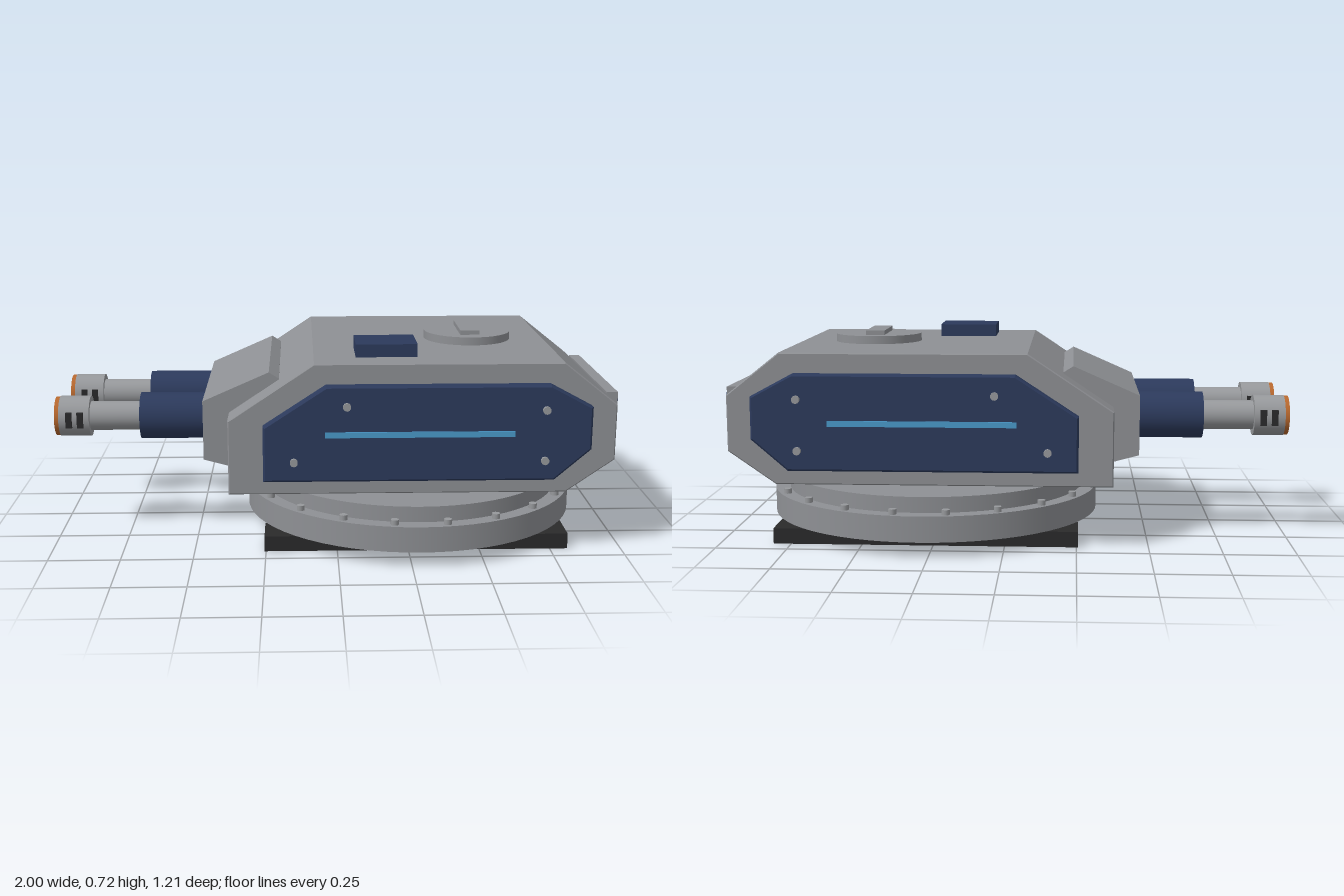
import * as THREE from 'three';

export function createModel() {
  const root = new THREE.Group();
  root.name = 'turret';
  const mat = (name, color) => {
    const m = new THREE.MeshStandardMaterial({ color });
    m.name = name;
    return m;
  };
  const grey = mat('armour grey', 0x8e9094);
  const steel = mat('barrel steel', 0x97999c);
  const navy = mat('navy panel', 0x2c3a5c);
  const cyan = mat('light strip', 0x4a9acb);
  const orange = mat('muzzle orange', 0xb8682e);
  const black = mat('skid black', 0x2a2a2b);

  const add = (name, geo, material, x = 0, y = 0, z = 0) => {
    const m = new THREE.Mesh(geo, material);
    m.name = name;
    m.position.set(x, y, z);
    root.add(m);
    return m;
  };
  // box given by its min and max on each axis
  const box = (name, material, x0, x1, y0, y1, z0, z1) =>
    add(name, new THREE.BoxGeometry(x1 - x0, y1 - y0, z1 - z0), material,
      (x0 + x1) / 2, (y0 + y1) / 2, (z0 + z1) / 2);
  // upright cylinder between two heights
  const disc = (name, material, r, x, y0, y1, z = 0, sides = 64) =>
    add(name, new THREE.CylinderGeometry(r, r, y1 - y0, sides), material, x, (y0 + y1) / 2, z);
  // cylinder lying along x
  const rod = (name, material, r, x0, x1, y, z) =>
    add(name, new THREE.CylinderGeometry(r, r, x1 - x0, 32).rotateZ(Math.PI / 2), material, (x0 + x1) / 2, y, z);
  // side profile extruded across z, with a small bevel inside the outline
  const slab = (name, material, pts, z0, z1, bevel) => {
    const shape = new THREE.Shape(pts.map(([x, y]) => new THREE.Vector2(x, y)));
    const geo = new THREE.ExtrudeGeometry(shape, {
      depth: z1 - z0 - 2 * bevel, bevelEnabled: bevel > 0, bevelSize: bevel,
      bevelThickness: bevel, bevelOffset: -bevel, bevelSegments: 1,
    });
    return add(name, geo, material, 0, 0, z0 + bevel);
  };

  // base: skids, turntable ring and its bolts
  const cx = 0.28;
  for (const s of [-1, 1]) {
    const z = s * 0.358;
    box('skid', black, -0.255, 0.812, 0, 0.055, z - 0.071, z + 0.071);
  }
  disc('baseRing', grey, 0.603, cx, 0.055, 0.145);
  disc('upperRing', grey, 0.55, cx, 0.145, 0.2);
  for (let i = 0; i < 20; i++) {
    const a = (i + 0.5) * Math.PI / 10;
    disc('ringBolt', steel, 0.014, cx + Math.cos(a) * 0.577, 0.145, 0.163, Math.sin(a) * 0.577, 10);
  }

  // armoured body
  slab('hull', grey, [[-0.375, 0.22], [0.79, 0.22], [0.955, 0.335], [0.955, 0.53],
    [0.77, 0.677], [-0.08, 0.677], [-0.375, 0.48]], -0.461, 0.461, 0.004);
  slab('mantlet', grey, [[-0.467, 0.31], [-0.375, 0.285], [-0.2, 0.285], [-0.2, 0.6],
    [-0.235, 0.622], [-0.467, 0.52]], -0.336, 0.336, 0);

  // side panels with light strip and bolts
  const outline = [[-0.255, 0.274], [0.74, 0.274], [0.865, 0.382], [0.865, 0.53],
    [0.72, 0.608], [-0.04, 0.608], [-0.255, 0.467]];
  for (const s of [-1, 1]) {
    slab('sidePanel', navy, outline, s > 0 ? 0.458 : -0.499, s > 0 ? 0.499 : -0.458, 0.007);
    add('lightStrip', new THREE.BoxGeometry(0.645, 0.02, 0.008), cyan, 0.278, 0.44, s * 0.499);
    for (const [x, y] of [[0.03, 0.538], [0.705, 0.522], [0.705, 0.345], [-0.15, 0.345]]) {
      add('panelBolt', new THREE.CylinderGeometry(0.014, 0.014, 0.02, 10).rotateX(Math.PI / 2),
        steel, x, y, s * 0.5);
    }
  }

  // roof fittings
  box('sensorBlock', navy, 0.065, 0.278, 0.67, 0.722, 0.18, 0.354);
  disc('hatch', grey, 0.158, 0.492, 0.67, 0.706);
  box('hatchHandle', grey, 0.457, 0.526, 0.7, 0.722, -0.105, 0.105);

  // end grille
  box('ventFrame', grey, 0.95, 0.99, 0.345, 0.54, -0.319, 0.319);
  for (let i = 0; i < 5; i++) {
    const y = 0.377 + i * 0.0326;
    box('ventSlat', navy, 0.98, 1, y - 0.008, y + 0.008, -0.286, 0.286);
  }

  // twin barrels
  const by = 0.432;
  for (const z of [-0.178, 0.178]) {
    rod('barrelSleeve', navy, 0.083, -0.697, -0.46, by, z);
    rod('barrel', steel, 0.052, -0.89, -0.69, by, z);
    rod('muzzle', steel, 0.072, -0.985, -0.877, by, z);
    rod('muzzleTip', orange, 0.07, -1, -0.984, by, z);
    for (const s of [-1, 1]) for (const x of [-0.948, -0.908]) {
      add('muzzleSlot', new THREE.BoxGeometry(0.022, 0.056, 0.022), black, x, by, z + s * 0.066);
    }
  }
  return root;
}
